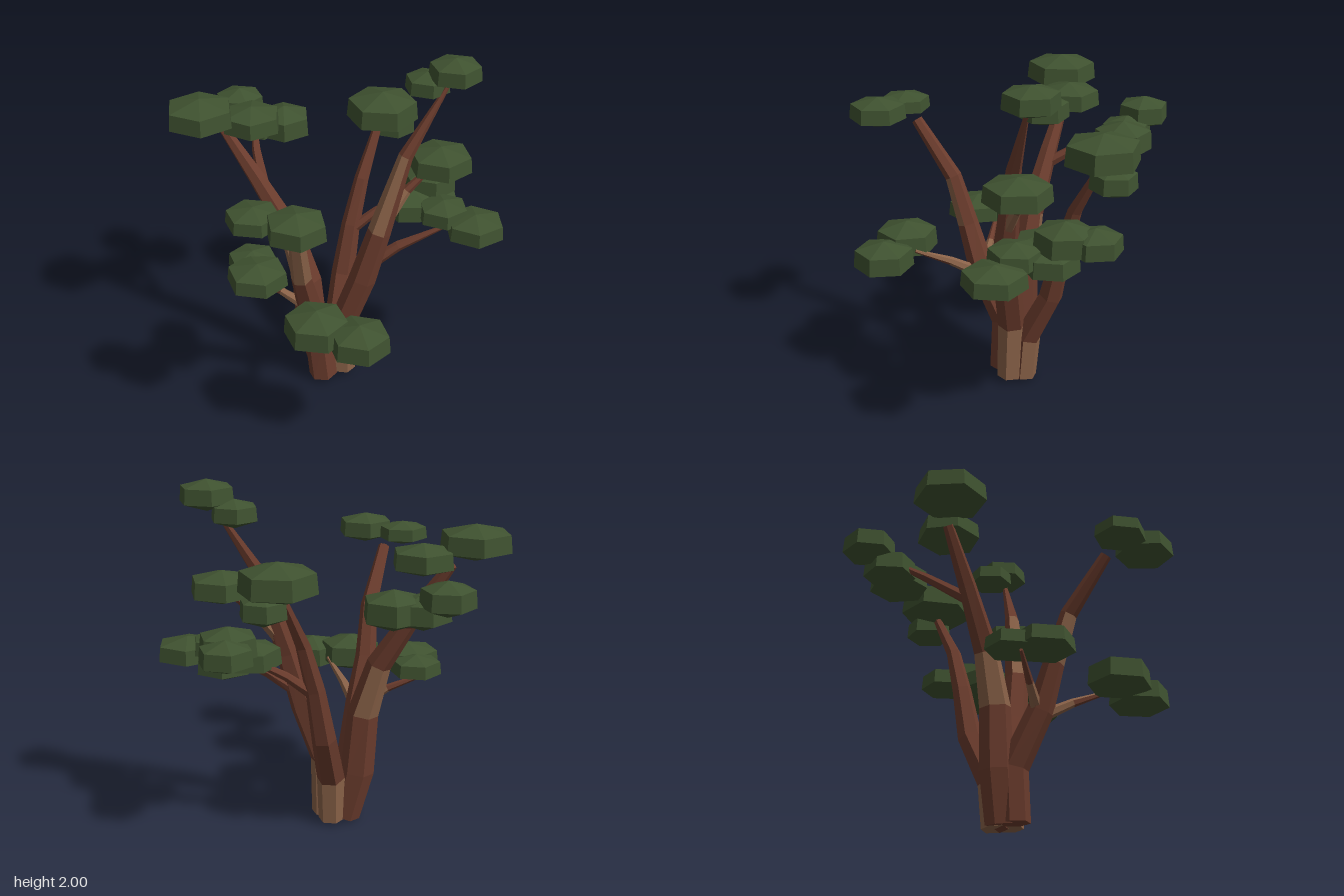
import * as THREE from 'three';

const SIDES = 6;

// Tapered hexagonal limb through [x, y, z, radius] points.
// pale(segment, side) picks the faces that use the second material.
function limbGeometry(points, pale) {
  const centres = points.map(p => new THREE.Vector3(p[0], p[1], p[2]));
  const rings = centres.map((c, i) => {
    const t = centres[Math.min(i + 1, centres.length - 1)].clone()
      .sub(centres[Math.max(i - 1, 0)]).normalize();
    const u = new THREE.Vector3(1, 0, 0).addScaledVector(t, -t.x).normalize();
    const v = u.clone().cross(t);
    return Array.from({ length: SIDES }, (_, k) => {
      const a = (k / SIDES) * Math.PI * 2;
      return c.clone().addScaledVector(u, Math.cos(a) * points[i][3])
        .addScaledVector(v, Math.sin(a) * points[i][3]);
    });
  });
  const faces = [[], []];
  const last = rings.length - 1;
  for (let k = 0; k < SIDES; k++) {
    const n = (k + 1) % SIDES;
    for (let i = 0; i < last; i++) {
      const a = rings[i][k], b = rings[i][n], c = rings[i + 1][k], d = rings[i + 1][n];
      faces[pale(i, k) ? 1 : 0].push(a, c, b, b, c, d);
    }
    faces[pale(0, k) ? 1 : 0].push(centres[0], rings[0][k], rings[0][n]);
    faces[0].push(centres[last], rings[last][n], rings[last][k]);
  }
  const g = new THREE.BufferGeometry().setFromPoints([...faces[0], ...faces[1]]);
  g.addGroup(0, faces[0].length, 0);
  g.addGroup(faces[0].length, faces[1].length, 1);
  g.computeVertexNormals();
  return g;
}

export function createModel() {
  const tree = new THREE.Group();
  tree.name = 'tree';
  const mat = (name, color) => {
    const m = new THREE.MeshStandardMaterial({ color, flatShading: true });
    m.name = name;
    return m;
  };
  const bark = mat('bark', 0x6b3c2d);
  const paleBark = mat('paleBark', 0x8a6248);
  const foliage = mat('foliage', 0x3f5230);

  const limb = (name, points, pale = () => false) => {
    const mesh = new THREE.Mesh(limbGeometry(points, pale), [bark, paleBark]);
    mesh.name = name;
    tree.add(mesh);
  };

  // Four stems rising from one root and spreading outwards
  limb('rightStem', [
    [-0.07, 0.02, -0.14, 0.085], [-0.14, 0.3, -0.14, 0.095], [-0.17, 0.65, -0.14, 0.088],
    [-0.26, 0.95, -0.16, 0.07], [-0.46, 1.27, -0.2, 0.05], [-0.65, 1.55, -0.24, 0.03],
  ], (i, k) => i === 2 && k > 0 && k < 5);
  limb('frontStem', [
    [-0.06, 0.02, -0.06, 0.085], [-0.09, 0.32, -0.06, 0.085], [-0.11, 0.62, 0.1, 0.075],
    [-0.14, 0.88, 0.19, 0.06], [-0.145, 1.16, 0.28, 0.048], [-0.2, 1.46, 0.52, 0.032],
  ], (i, k) => i === 3 && k < 3);
  limb('backStem', [
    [0.0, 0.02, -0.2, 0.075], [0.0, 0.28, -0.22, 0.08], [0.015, 0.57, -0.36, 0.07],
    [0.05, 0.88, -0.43, 0.055], [0.1, 1.15, -0.51, 0.042], [0.17, 1.42, -0.65, 0.025],
  ], (i, k) => i === 0 && k > 1);
  limb('leftStem', [
    [0.05, 0.03, -0.13, 0.075], [0.05, 0.37, -0.14, 0.08], [0.16, 0.68, -0.15, 0.08],
    [0.25, 1.0, -0.17, 0.068], [0.38, 1.46, -0.25, 0.042], [0.6, 1.87, -0.39, 0.01],
  ], (i, k) => i === 0 || (i === 3 && (k === 1 || k === 2)));

  // Side branches
  const firstPale = i => i === 0;
  limb('lowRightBranch', [[-0.12, 0.61, 0.09, 0.035], [-0.28, 0.72, 0.1, 0.022], [-0.5, 0.81, 0.13, 0.01]], firstPale);
  limb('lowFrontBranch', [[-0.09, 0.6, 0.11, 0.035], [0.0, 0.69, 0.25, 0.025], [0.12, 0.78, 0.42, 0.01]],
    (i, k) => i === 0 || k > 2);
  limb('lowLeftBranch', [[0.18, 0.76, -0.17, 0.04], [0.36, 0.89, -0.21, 0.03], [0.6, 1.0, -0.27, 0.012]]);
  limb('middleLeftBranch', [[0.28, 1.06, -0.18, 0.038], [0.39, 1.23, -0.27, 0.028], [0.52, 1.36, -0.33, 0.015]], firstPale);
  limb('lowBackBranch', [[0.05, 0.84, -0.42, 0.035], [0.2, 0.96, -0.47, 0.025], [0.44, 1.1, -0.55, 0.012]]);
  limb('highRightBranch', [[-0.42, 1.2, -0.2, 0.035], [-0.51, 1.33, -0.42, 0.025], [-0.56, 1.43, -0.6, 0.012]]);

  // Leaf pads: x, y, z, radius, half height, turn in degrees
  const pads = [
    [-0.77, 1.66, -0.18, 0.2, 0.1, 15], [-0.505, 1.585, -0.3, 0.175, 0.09, 10],
    [-0.665, 1.49, -0.705, 0.145, 0.095, 30], [-0.39, 1.405, -0.65, 0.165, 0.11, 12],
    [-0.54, 1.4, -0.635, 0.145, 0.1, 25], [-0.445, 0.87, 0.055, 0.145, 0.075, 28],
    [-0.385, 0.88, 0.215, 0.175, 0.085, 28], [-0.3, 1.52, 0.63, 0.145, 0.07, 30],
    [-0.065, 1.53, 0.705, 0.163, 0.088, 18], [0.0, 0.795, 0.52, 0.18, 0.112, 30],
    [0.24, 0.765, 0.565, 0.172, 0.105, 25], [0.195, 1.525, -0.675, 0.21, 0.115, 32],
    [0.255, 1.405, -0.75, 0.13, 0.09, 20], [0.465, 1.135, -0.715, 0.15, 0.09, 25],
    [0.49, 1.145, -0.56, 0.165, 0.108, 22], [0.41, 1.05, -0.44, 0.18, 0.095, 40],
    [0.53, 1.03, -0.5, 0.155, 0.095, 10], [0.6, 1.07, -0.33, 0.15, 0.08, 15],
    [0.79, 1.015, -0.28, 0.175, 0.085, 12], [0.57, 1.4, -0.33, 0.185, 0.095, 20],
    [0.47, 1.825, -0.43, 0.13, 0.078, 20], [0.62, 1.915, -0.41, 0.15, 0.085, 25],
  ];
  const profile = [[0, -1], [1, -0.42], [0.95, 0.54], [0, 1]].map(p => new THREE.Vector2(...p));
  const padGeometry = new THREE.LatheGeometry(profile, SIDES);
  pads.forEach(([x, y, z, r, h, turn], i) => {
    const pad = new THREE.Mesh(padGeometry, foliage);
    pad.name = `leafPad${i + 1}`;
    pad.position.set(x, y, z);
    pad.scale.set(r, h, r);
    pad.rotation.y = THREE.MathUtils.degToRad(turn);
    tree.add(pad);
  });
  return tree;
}
